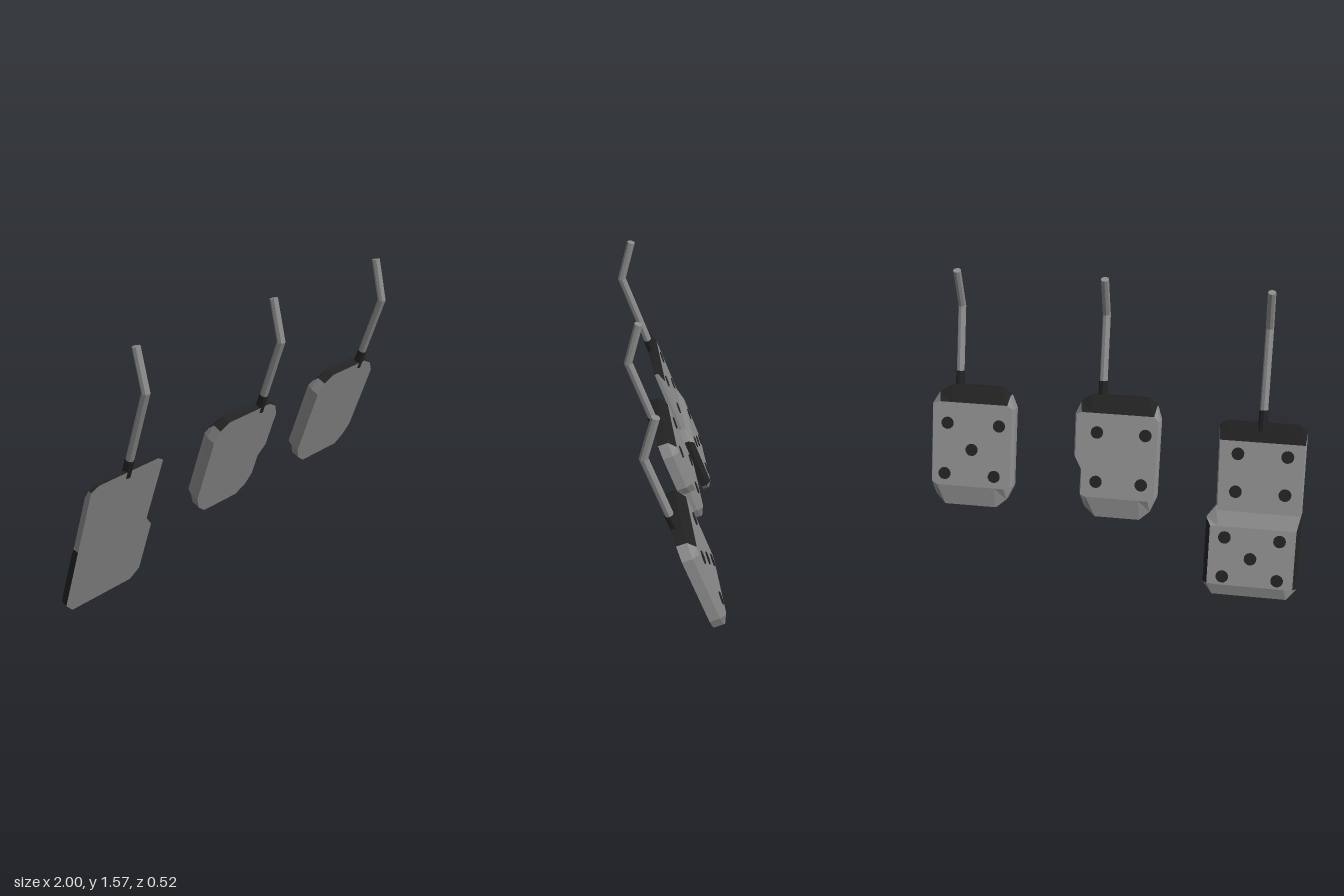
import * as THREE from 'three';

const metal = new THREE.MeshStandardMaterial({ color: 0x8c8c8d, flatShading: true });
metal.name = 'brushed grey metal';
const rubber = new THREE.MeshStandardMaterial({ color: 0x222222, flatShading: true });
rubber.name = 'black rubber';

const TILT = 0.327, YAW = 0.035;
const upright = (y) => y / Math.cos(TILT); // height to distance along the tilted plate

// Solid plate: flat front, straight rim, then a bevel up to a raised back face.
// Outline runs counterclockwise seen from the front; black lists its rubber edges.
function plate(name, cx, outline, { rim, depth, top, bottom, side, black }) {
  const pts = outline.map(([x, y]) => new THREE.Vector2(x - cx - 0.0115 * y, upright(y)));
  const box = new THREE.Box2().setFromPoints(pts);
  const mid = (box.min.x + box.max.x) / 2;
  const inner = pts.map((p) => new THREE.Vector2(
    mid + (p.x - mid) * side,
    THREE.MathUtils.clamp(p.y, box.min.y + bottom, box.max.y - top)));
  const grey = [], dark = [];
  const tri = (out, ...v) => v.forEach(([p, z]) => out.push(p.x, p.y, z));
  THREE.ShapeUtils.triangulateShape(pts, []).forEach(([a, b, c]) =>
    tri(grey, [pts[a], 0], [pts[b], 0], [pts[c], 0]));
  THREE.ShapeUtils.triangulateShape(inner, []).forEach(([a, b, c]) =>
    tri(grey, [inner[a], -depth], [inner[c], -depth], [inner[b], -depth]));
  const rings = [[pts, 0], [pts, -rim], [inner, -depth]];
  pts.forEach((_, i) => {
    const j = (i + 1) % pts.length, out = black.includes(i) ? dark : grey;
    for (let r = 0; r < 2; r++) {
      const [f, fz] = rings[r], [b, bz] = rings[r + 1];
      tri(out, [f[i], fz], [b[i], bz], [b[j], bz]);
      tri(out, [f[i], fz], [b[j], bz], [f[j], fz]);
    }
  });
  const geo = new THREE.BufferGeometry();
  geo.setAttribute('position', new THREE.Float32BufferAttribute([...grey, ...dark], 3));
  geo.addGroup(0, grey.length / 3, 0);
  geo.addGroup(grey.length / 3, dark.length / 3, 1);
  geo.computeVertexNormals();
  const mesh = new THREE.Mesh(geo, [metal, rubber]);
  mesh.name = name;
  return mesh;
}

// Round rubber studs on the back face
function studs(spots, depth) {
  const group = new THREE.Group();
  group.name = 'gripStuds';
  for (const [x, y] of spots) {
    const stud = new THREE.Mesh(new THREE.CylinderGeometry(0.033, 0.033, 0.008, 14), rubber);
    stud.name = 'gripStud';
    stud.rotation.x = Math.PI / 2;
    stud.position.set(x, upright(y), -depth);
    group.add(stud);
  }
  return group;
}

// Bent arm with a rubber collar where it enters the plate
function arm(x, plateTop) {
  const group = new THREE.Group();
  group.name = 'pedalArm';
  const base = upright(plateTop), bend = 1.415, reach = 0.222, angle = -0.578;
  const geo = new THREE.CylinderGeometry(0.021, 0.021, 2, 8, 2);
  const pos = geo.attributes.position, v = new THREE.Vector3();
  const axis = new THREE.Vector3(1, 0, 0);
  for (let i = 0; i < pos.count; i++) {
    v.fromBufferAttribute(pos, i);
    const level = Math.round(v.y);
    v.y = 0;
    if (level === 0) v.z /= Math.cos(angle / 2);
    if (level >= 0) v.applyAxisAngle(axis, level ? angle : angle / 2);
    v.y += level < 0 ? base : bend;
    if (level > 0) v.add(new THREE.Vector3(0, reach * Math.cos(angle), reach * Math.sin(angle)));
    pos.setXYZ(i, v.x, v.y, v.z);
  }
  geo.computeVertexNormals();
  const rod = new THREE.Mesh(geo, metal);
  rod.name = 'bentRod';
  const collar = new THREE.Mesh(new THREE.CylinderGeometry(0.024, 0.024, 0.11, 8), rubber);
  collar.name = 'rodCollar';
  collar.position.y = base + 0.02;
  group.add(rod, collar);
  group.position.set(x, 0, -0.018);
  return group;
}

function pedal(name, x, z, ...parts) {
  const group = new THREE.Group();
  group.name = name;
  group.rotation.set(TILT, YAW, 0, 'YXZ');
  group.position.set(x, 0, z);
  group.add(...parts);
  return group;
}

export function createModel() {
  const model = new THREE.Group();
  model.name = 'pedalSet';

  // Long pedal: thin upper plate and thicker, wider foot
  const upper = [
    [-0.55, 0.43], [-0.537, 0.85], [-0.575, 0.878], [-0.945, 0.878], [-0.988, 0.85], [-0.995, 0.43],
  ];
  const foot = [
    [-0.95, 0], [-0.56, 0], [-0.508, 0.06], [-0.504, 0.39], [-0.548, 0.45], [-0.995, 0.45], [-1, 0.06],
  ];
  model.add(pedal('longPedal', -0.76, -0.223,
    plate('upperPlate', -0.76, upper,
      { rim: 0.02, depth: 0.04, top: 0.1, bottom: 0, side: 0.97, black: [1, 2, 3] }),
    plate('footPlate', -0.76, foot,
      { rim: 0.034, depth: 0.06, top: 0.1, bottom: 0.06, side: 0.91, black: [2, 5] }),
    studs([[-0.145, 0.72], [0.11, 0.72], [-0.145, 0.53], [0.11, 0.53]], 0.04),
    studs([[-0.135, 0.3], [0.15, 0.3], [0.01, 0.2], [-0.135, 0.1], [0.15, 0.1]], 0.06),
    arm(-0.007, 0.87)));

  // Middle pedal: notched on one side
  const notched = [
    [-0.147, 0.325], [0.09, 0.325], [0.15, 0.375], [0.18, 0.44], [0.18, 0.565], [0.219, 0.63],
    [0.223, 0.84], [0.195, 0.905], [0.14, 0.942], [-0.155, 0.942], [-0.205, 0.905], [-0.23, 0.835],
    [-0.233, 0.445], [-0.2, 0.37],
  ];
  const thick = { rim: 0.052, depth: 0.085, top: 0.09, bottom: 0.11, side: 0.95 };
  model.add(pedal('middlePedal', 0.0, -0.203,
    plate('notchedPlate', 0.0, notched, { ...thick, black: [7, 8, 9] }),
    studs([[-0.165, 0.76], [0.09, 0.76], [-0.155, 0.51], [0.085, 0.51]], 0.085),
    arm(0.077, 0.94)));

  // End pedal: rounded rectangle
  const rounded = [
    [0.63, 0.325], [0.91, 0.325], [0.96, 0.375], [0.99, 0.445], [0.997, 0.84], [0.957, 0.905],
    [0.89, 0.942], [0.63, 0.942], [0.575, 0.905], [0.545, 0.84], [0.541, 0.44], [0.575, 0.37],
  ];
  model.add(pedal('endPedal', 0.765, -0.223,
    plate('roundedPlate', 0.765, rounded, { ...thick, black: [5, 6, 7] }),
    studs([[-0.15, 0.75], [0.13, 0.75], [-0.005, 0.62], [-0.13, 0.49], [0.14, 0.49]], 0.085),
    arm(0.084, 0.94)));

  return model;
}
